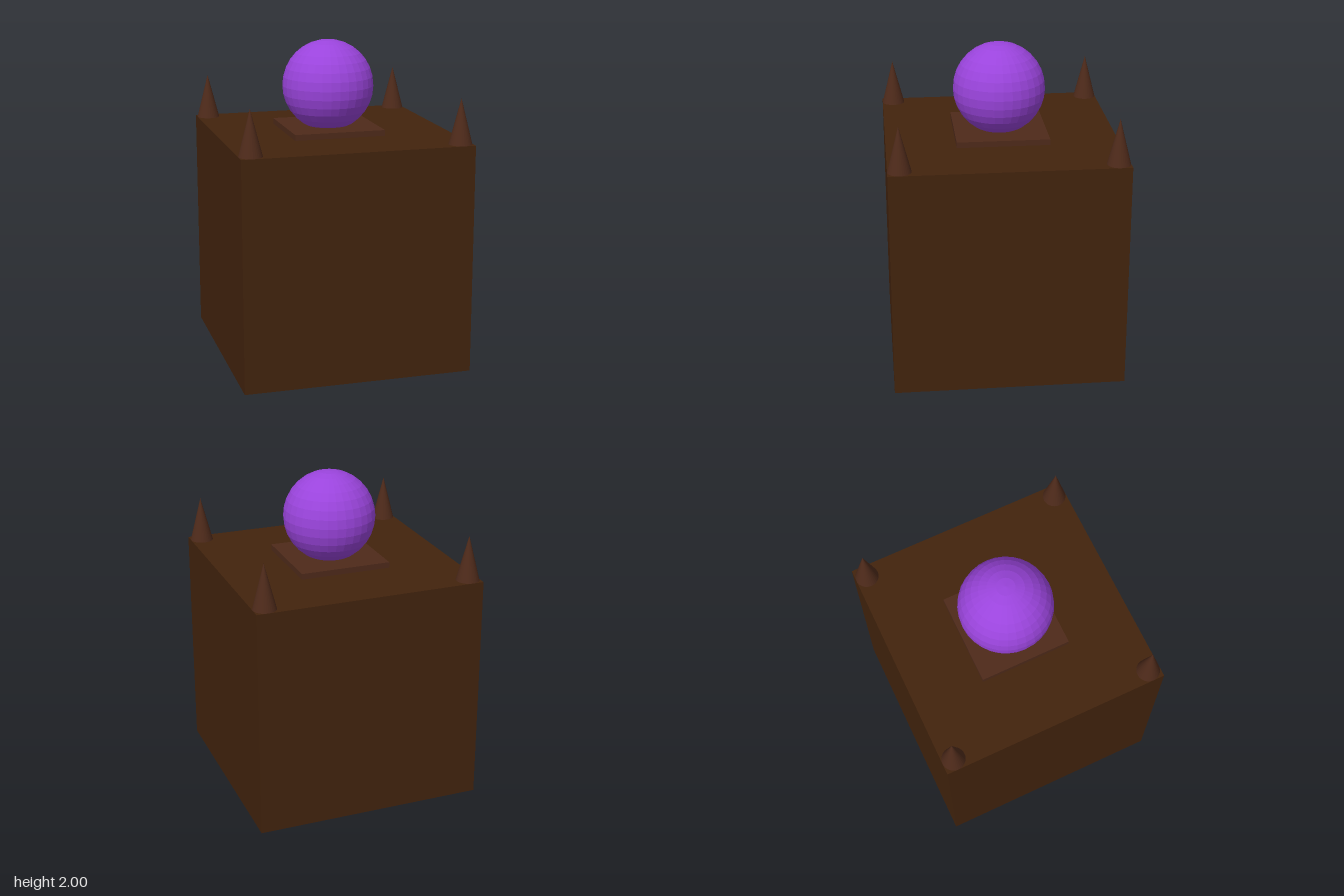
import * as THREE from 'three';

const U = 1 / 7; // design unit: the cube is 10 units wide, the whole model 14 units tall

export function createModel() {
  const model = new THREE.Group();
  const paint = (color) => new THREE.MeshStandardMaterial({ color, flatShading: true });
  const darkWood = paint(0x42230d);
  const trimWood = paint(0x4e2a1a);
  const purple = paint(0x9a44dc);

  const add = (name, geometry, material, x, y, z) => {
    const mesh = new THREE.Mesh(geometry, material);
    mesh.name = name;
    mesh.position.set(x * U, y * U, z * U);
    model.add(mesh);
  };

  // Solid cube body
  add('body', new THREE.BoxGeometry(10 * U, 10 * U, 10 * U), darkWood, 0, 5, 0);

  // Square plate under the orb
  add('plate', new THREE.BoxGeometry(4 * U, 0.25 * U, 4 * U), trimWood, 0, 10.125, 0);

  // Faceted orb, slightly sunk into the plate
  add('orb', new THREE.SphereGeometry(2 * U, 32, 16), purple, 0, 12, 0);

  // A spike on each top corner
  const spike = new THREE.ConeGeometry(0.5 * U * 1.0, 1.95 * U, 32);
  for (const [side, x] of [['left', 4.5], ['right', -4.5]]) {
    for (const [end, z] of [['Front', 4.5], ['Back', -4.5]]) {
      add(`${side}${end}Spike`, spike, trimWood, x, 10 + 1.95 / 2, z);
    }
  }

  return model;
}
